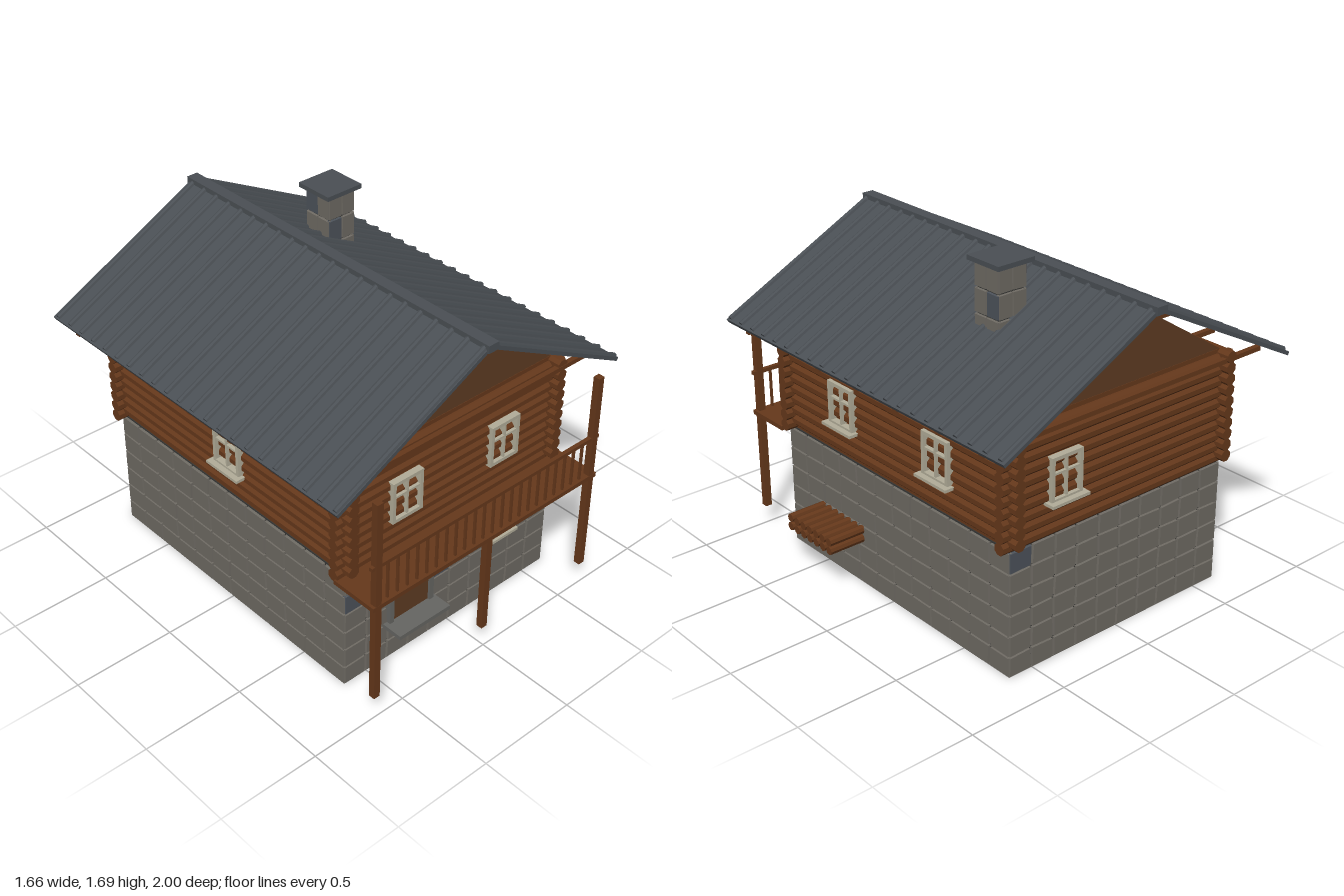
import * as THREE from 'three';
import { mergeGeometries } from 'three/addons/utils/BufferGeometryUtils.js';

const flat = (name, color) => {
  const m = new THREE.MeshStandardMaterial({ color, flatShading: true });
  m.name = name;
  return m;
};

export function createModel() {
  const house = new THREE.Group();
  house.name = 'house';
  const stone = flat('stone', 0x6e6a63);
  const dressed = flat('dressedStone', 0x656562);
  const slateStone = flat('slateStone', 0x4c525a);
  const mortar = flat('mortar', 0x383836);
  const logWood = flat('logWood', 0x65381b);
  const plank = flat('plankWood', 0x5e3b22);
  const roofing = flat('roofing', 0x4a4f54);
  const frameTone = flat('windowFrame', 0xb2ad99);
  const iron = flat('iron', 0x2a2420);

  let seed = 7;
  const rand = () => (seed = (seed * 16807) % 2147483647) / 2147483647 - 0.5;

  const add = (name, geo, mat, parent = house) => {
    const mesh = new THREE.Mesh(geo, mat);
    mesh.name = name;
    parent.add(mesh);
    return mesh;
  };
  // Box given by its lower and upper limits on each axis
  const slab = (x0, x1, y0, y1, z0, z1) =>
    new THREE.BoxGeometry(x1 - x0, y1 - y0, z1 - z0).translate((x0 + x1) / 2, (y0 + y1) / 2, (z0 + z1) / 2);
  const box = (name, mat, lim, parent) => add(name, slab(...lim), mat, parent);
  const place = (obj, x, y, z, ry = 0) => {
    obj.position.set(x, y, z);
    obj.rotation.y = ry;
    return obj;
  };

  // Wall of slightly uneven stones, facing local +z; slate lists [column, row]
  function stoneWall(name, w, h, cols, rows, slate = [], jitter = 0.009) {
    const group = new THREE.Group();
    group.name = name;
    const node = [];
    for (let i = 0; i <= cols; i++) {
      node.push([]);
      for (let j = 0; j <= rows; j++) {
        const du = i % cols ? rand() * jitter : 0, dv = j % rows ? rand() * jitter * 0.5 : 0;
        node[i].push([w * (i / cols - 0.5) + du, (h * j) / rows + dv]);
      }
    }
    const plain = [], blue = [];
    for (let i = 0; i < cols; i++) for (let j = 0; j < rows; j++) {
      const g = new THREE.BoxGeometry(1, 1, 1), p = g.attributes.position;
      for (let k = 0; k < p.count; k++) {
        const front = p.getZ(k) > 0, gap = front ? 0.05 : 0.025;
        const s = p.getX(k) > 0 ? 1 - gap : gap, t = p.getY(k) > 0 ? 1 - gap : gap;
        const mix = (c) =>
          (node[i][j][c] * (1 - s) + node[i + 1][j][c] * s) * (1 - t) +
          (node[i][j + 1][c] * (1 - s) + node[i + 1][j + 1][c] * s) * t;
        p.setXYZ(k, mix(0), mix(1), front ? 0.012 : -0.005);
      }
      (slate.some(([a, b]) => a === i && b === j) ? blue : plain).push(g);
    }
    add('stones', mergeGeometries(plain), stone, group);
    if (blue.length) add('slateStones', mergeGeometries(blue), slateStone, group);
    house.add(group);
    return group;
  }

  // Stone ground floor on a footing
  const Q = Math.PI / 2;
  box('foundationCore', mortar, [-0.62, 0.62, 0.004, 0.61, -0.79, 0.76]);
  box('footing', stone, [-0.628, 0.628, 0, 0.005, -0.798, 0.768]);
  place(stoneWall('frontStoneWall', 1.264, 0.605, 10, 6, [[0, 4], [4, 3]]), 0, 0, 0.76);
  place(stoneWall('backStoneWall', 1.264, 0.605, 10, 6, [[0, 5]]), 0, 0, -0.79, Math.PI);
  place(stoneWall('leftStoneWall', 1.574, 0.605, 12, 6, [[1, 1]]), 0.62, 0, -0.015, Q);
  place(stoneWall('rightStoneWall', 1.574, 0.605, 12, 6), -0.62, 0, -0.015, -Q);

  // Log upper floor: end and side walls cross at the corners, half a log apart
  box('logWallCore', logWood, [-0.617, 0.617, 0.61, 1.165, -0.787, 0.747]);
  const pitch = 0.0535, logs = [];
  const log = (len) => new THREE.CylinderGeometry(0.0295, 0.0295, len, 8).rotateY(Math.PI / 8);
  for (let i = 0; i < 10; i++) {
    const y = 0.636 + i * pitch;
    for (const z of [0.745, -0.785]) logs.push(log(1.35).rotateZ(Q).translate(0, y, z));
    for (const x of [0.615, -0.615]) logs.push(log(1.66).rotateX(Q).translate(x, y + pitch * 0.4, -0.02));
  }
  add('wallLogs', mergeGeometries(logs), logWood);

  // Gable
  const tri = new THREE.Shape([
    new THREE.Vector2(-0.61, 1.16), new THREE.Vector2(0.61, 1.16), new THREE.Vector2(0, 1.55),
  ]);
  add('gable', new THREE.ExtrudeGeometry(tri, { depth: 1.53, bevelEnabled: false }).translate(0, 0, -0.785), plank);

  // Cross beams under the eaves
  for (let i = 0; i < 7; i++) {
    const z = 0.8 - i * 0.272;
    box('eaveBeam', logWood, [-0.81, 0.81, 1.115, 1.137, z - 0.0125, z + 0.0125]);
  }

  // Ribbed roof, one pane per side
  const slope = Math.atan2(0.422, 0.825), run = Math.hypot(0.422, 0.825);
  for (const s of [1, -1]) {
    const pane = new THREE.Group();
    pane.name = s > 0 ? 'leftRoof' : 'rightRoof';
    box('roofSheet', roofing, [-run / 2, run / 2, -0.009, 0.009, -0.99, 0.94], pane);
    const ribs = [];
    for (let i = 0; i < 22; i++) {
      ribs.push(new THREE.CylinderGeometry(0.014, 0.014, run - 0.02, 8).rotateZ(Q)
        .translate(0, 0.009, -0.962 + i * 0.0897));
    }
    add('roofRibs', mergeGeometries(ribs), roofing, pane);
    pane.position.set(s * 0.4125, 1.354, 0);
    pane.rotation.z = -s * slope;
    house.add(pane);
  }
  box('ridgeCap', roofing, [-0.029, 0.029, 1.548, 1.585, -1, 0.95]);

  // Chimney
  box('chimneyCore', mortar, [0.222, 0.358, 1.32, 1.675, -0.42, -0.284]);
  const sides = [['Front', 0, [[0, 1]]], ['Left', 1, [[1, 1]]], ['Back', 2, []], ['Right', 3, [[0, 2]]]];
  for (const [side, k, slate] of sides) {
    place(stoneWall('chimney' + side, 0.154, 0.35, 2, 3, slate, 0.006),
      0.29 + Math.sin(k * Q) * 0.067, 1.32, -0.352 + Math.cos(k * Q) * 0.067, k * Q);
  }
  box('chimneyCap', roofing, [0.19, 0.39, 1.668, 1.69, -0.453, -0.255]);

  // Window frame with cross bars and optional sill, facing local +z
  function windowFrame(x, y, z, ry, { bar = 0.017, cross = 0.005, sill = true } = {}) {
    const w = 0.087, h = 0.21, d = 0.018;
    const parts = [
      slab(-w, -w + bar, 0, h, -0.02, d), slab(w - bar, w, 0, h, -0.02, d),
      slab(-w, w, h - bar, h, -0.02, d), slab(-w, w, 0, bar, -0.02, d),
      slab(-cross, cross, 0, h, -0.02, d - 0.004), slab(-w, w, h * 0.62 - cross, h * 0.62 + cross, -0.02, d - 0.004),
    ];
    if (sill) parts.push(slab(-0.105, 0.105, -0.007, 0.007, -0.02, 0.045));
    place(add('window', mergeGeometries(parts), frameTone), x, y, z, ry);
  }
  for (const x of [-0.293, 0.293]) windowFrame(x, 0.772, 0.773, 0, { sill: false });
  for (const z of [0.315, -0.355]) windowFrame(0.643, 0.772, z, Q);
  windowFrame(-0.643, 0.772, 0.03, -Q);
  windowFrame(0.34, 0.772, -0.813, Math.PI);
  windowFrame(0.293, 0.342, 0.767, 0, { bar: 0.009, cross: 0.003 });

  // Door with stone surround and step
  box('door', plank, [-0.36, -0.14, 0.215, 0.6, 0.75, 0.78]);
  for (const x of [-0.37, -0.13]) box('doorJamb', dressed, [x - 0.012, x + 0.012, 0.215, 0.605, 0.75, 0.792]);
  box('doorStep', dressed, [-0.405, -0.1, 0.195, 0.216, 0.75, 0.88]);
  add('doorKnob', new THREE.SphereGeometry(0.009, 8, 6).translate(-0.178, 0.4, 0.787), iron);

  // Balcony
  box('balconyDeck', logWood, [-0.683, 0.683, 0.603, 0.625, 0.76, 1]);
  for (const x of [-0.652, 0, 0.652]) {
    box('balconyPost', logWood, [x - 0.0165, x + 0.0165, 0.107, x ? 1.15 : 0.61, 0.967, 0.999]);
  }
  box('balconyRail', logWood, [-0.685, 0.685, 0.815, 0.833, 0.972, 0.992]);
  const balusters = [];
  for (let i = 0; i < 22; i++) {
    const x = -0.588 + i * 0.056;
    balusters.push(slab(x - 0.005, x + 0.005, 0.62, 0.82, 0.976, 0.987));
  }
  add('balusters', mergeGeometries(balusters), logWood);

  // Firewood stacked against the left wall
  const wood = [];
  for (let i = 0; i < 7; i++) for (const y of [0.24, 0.284]) {
    wood.push(new THREE.CylinderGeometry(0.021, 0.021, 0.19, 8).rotateZ(Q).translate(0.723, y, 0.522 - i * 0.05));
  }
  add('firewood', mergeGeometries(wood), logWood);

  return house;
}
